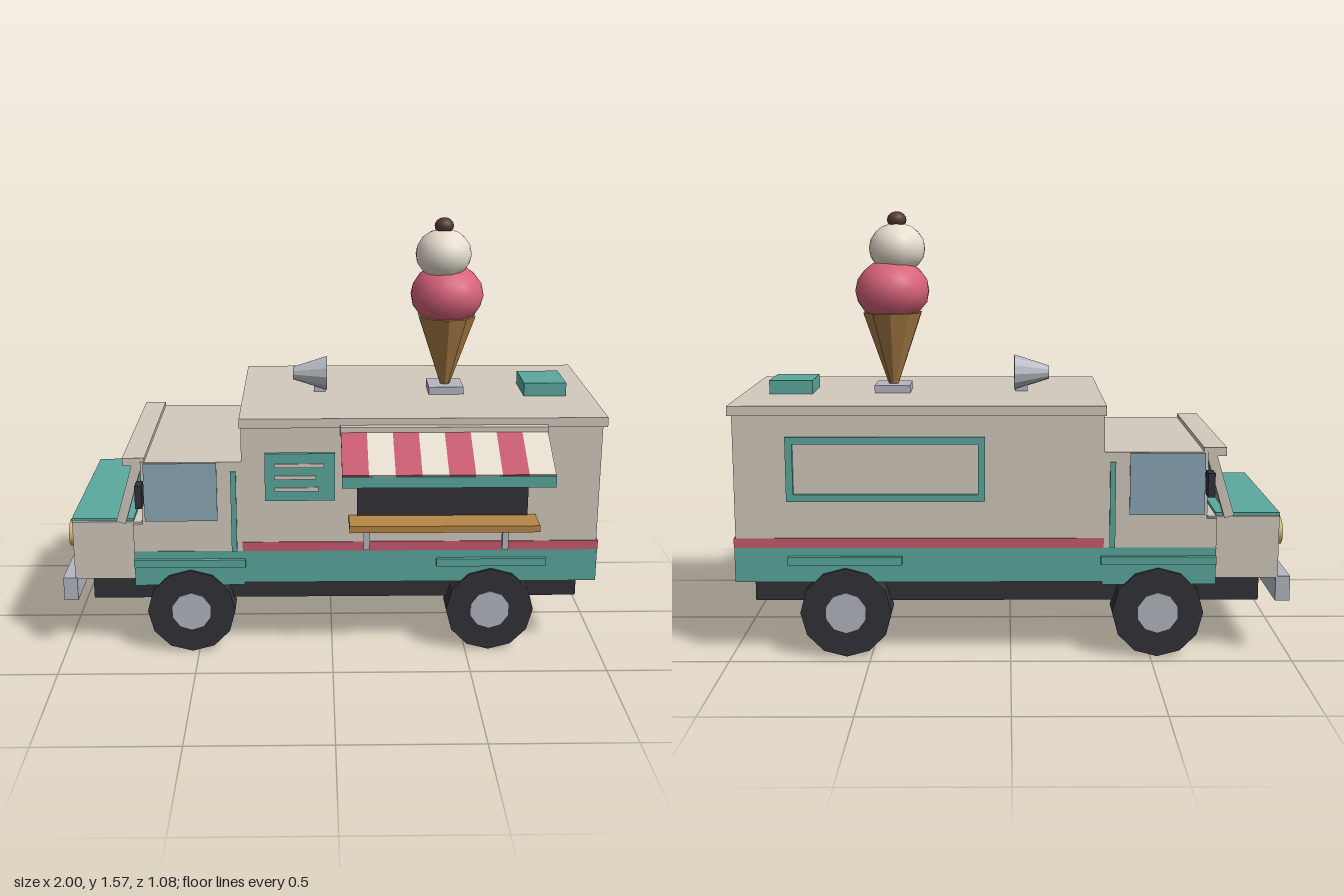
import * as THREE from 'three';

const mat = (color, extra = {}) => new THREE.MeshStandardMaterial({ color, ...extra });
const M = {
  cream: mat(0xd3cabd), teal: mat(0x5caa9f), red: mat(0xc85a70), dark: mat(0x333138),
  glass: mat(0x8ca9b8), metal: mat(0xb4b8c0), grille: mat(0x74747c), wood: mat(0xb88645),
  gold: mat(0xd6bd7c), white: mat(0xe6dfd0), pink: mat(0xd8627a), brown: mat(0x553a36),
  waffle: mat(0xa87d45, { flatShading: true }), tyre: mat(0x333138, { flatShading: true }),
  hub: mat(0xb4b8c0, { flatShading: true }),
  horn: mat(0xb4b8c0, { flatShading: true, side: THREE.DoubleSide }),
};

export function createModel() {
  const model = new THREE.Group();
  const truck = new THREE.Group();
  truck.name = 'truck';
  truck.position.z = -0.065; // the awning sticks out on one side
  model.add(truck);

  const add = (name, geo, material, x = 0, y = 0, z = 0) => {
    const mesh = new THREE.Mesh(geo, material);
    mesh.name = name;
    mesh.position.set(x, y, z);
    truck.add(mesh);
    return mesh;
  };
  // box given by its limits on each axis
  const box = (name, material, x0, x1, y0, y1, z0, z1) =>
    add(name, new THREE.BoxGeometry(x1 - x0, y1 - y0, z1 - z0), material,
      (x0 + x1) / 2, (y0 + y1) / 2, (z0 + z1) / 2);
  // thick slab from a to b, both [x, y, z], in a plane of constant x or z
  const slab = (name, material, a, b, thick, width) => {
    const A = new THREE.Vector3(...a), B = new THREE.Vector3(...b), d = B.clone().sub(A);
    const alongX = Math.abs(d.x) > Math.abs(d.z);
    const size = alongX ? [thick, d.length(), width] : [width, d.length(), thick];
    const mesh = add(name, new THREE.BoxGeometry(...size), material, ...A.add(B).multiplyScalar(0.5));
    mesh.quaternion.setFromUnitVectors(new THREE.Vector3(0, 1, 0), d.normalize());
    return mesh;
  };

  // chassis and cargo body
  const W = 0.373;
  box('chassis', M.dark, -0.895, 0.92, 0.19, 0.28, -0.317, 0.317);
  box('cargoBody', M.cream, -0.33, 0.975, 0.39, 0.885, -W, W);
  box('lowerBody', M.teal, -0.33, 0.98, 0.275, 0.4, -W - 0.002, W + 0.002);
  box('stripe', M.red, -0.33, 0.981, 0.4, 0.435, -W - 0.004, W + 0.004);
  box('roof', M.cream, -0.335, 0.99, 0.875, 0.91, -0.382, 0.382);

  // cab and hood
  box('cabLower', M.teal, -0.73, -0.325, 0.265, 0.4, -W - 0.002, W + 0.002);
  box('cabMiddle', M.cream, -0.73, -0.32, 0.4, 0.505, -W, W);
  box('cabUpper', M.cream, -0.695, -0.32, 0.505, 0.745, -W, W);
  box('hood', M.cream, -0.955, -0.7, 0.285, 0.51, -0.358, 0.358);
  box('hoodTop', M.teal, -0.958, -0.73, 0.505, 0.52, -0.347, 0.347);
  box('visor', M.cream, -0.76, -0.68, 0.73, 0.76, -0.368, 0.368);
  slab('windshield', M.glass, [-0.78, 0.51, 0], [-0.705, 0.745, 0], 0.02, 0.66);
  for (const s of [-1, 1])
    slab('windshieldPillar', M.cream, [-0.775, 0.51, s * 0.345], [-0.705, 0.745, s * 0.345], 0.035, 0.04);
  box('bumper', M.metal, -1, -0.948, 0.2, 0.29, -0.36, 0.36);
  box('grille', M.grille, -0.965, -0.95, 0.315, 0.405, -0.25, 0.25);

  // parts mirrored on both sides
  for (const s of [-1, 1]) {
    const side = (name, m, x0, x1, y0, y1, a, b) =>
      box(name, m, x0, x1, y0, y1, Math.min(s * a, s * b), Math.max(s * a, s * b));
    side('cabWindow', M.glass, -0.685, -0.42, 0.52, 0.742, 0.36, 0.379);
    side('doorTrim', M.teal, -0.37, -0.35, 0.4, 0.71, 0.36, 0.382);
    side('cabStep', M.teal, -0.73, -0.32, 0.34, 0.37, 0.36, 0.39);
    side('rearStep', M.teal, 0.385, 0.79, 0.34, 0.37, 0.36, 0.39);
    side('mirrorArm', M.dark, -0.698, -0.685, 0.655, 0.675, 0.36, 0.43);
    side('mirror', M.dark, -0.705, -0.68, 0.605, 0.69, 0.415, 0.473);
    side('rearWindow', M.teal, 0.96, 0.984, 0.465, 0.835, 0.012, 0.315);
    side('tailLight', M.red, 0.97, 0.998, 0.335, 0.415, 0.193, 0.25);
    add('headlight', new THREE.CylinderGeometry(0.05, 0.05, 0.03, 12), M.gold, -0.963, 0.435, s * 0.265)
      .rotation.z = Math.PI / 2;
    for (const x of [-0.525, 0.588]) {
      add('wheel', new THREE.CylinderGeometry(0.163, 0.163, 0.104, 12), M.tyre, x, 0.163, s * 0.332)
        .rotation.set(Math.PI / 2, Math.PI / 2, 0);
      add('hub', new THREE.CylinderGeometry(0.074, 0.074, 0.104, 10), M.hub, x, 0.163, s * 0.336)
        .rotation.x = Math.PI / 2;
    }
  }

  // menu board with its lines
  box('menuBoard', M.teal, -0.245, 0.01, 0.6, 0.78, 0.36, 0.386);
  [[0.735, -0.03], [0.69, -0.06], [0.645, -0.05]].forEach(([y, x1]) =>
    box('menuLine', M.cream, -0.21, x1, y - 0.007, y + 0.007, 0.38, 0.391));

  // serving window, counter and brackets
  box('servingWindow', M.dark, 0.09, 0.715, 0.535, 0.79, 0.36, 0.379);
  box('counter', M.wood, 0.06, 0.745, 0.513, 0.538, 0.37, 0.488);
  for (const x of [0.122, 0.622])
    box('counterBracket', M.metal, x - 0.011, x + 0.011, 0.445, 0.515, 0.46, 0.482);

  // striped awning
  box('awningMount', M.cream, 0.028, 0.772, 0.85, 0.885, 0.365, 0.41);
  const n = 8, w = 0.74 / n;
  for (let i = 0; i < n; i++) {
    const x = 0.03 + w * (i + 0.5);
    slab('awningStripe', i % 2 ? M.white : M.red, [x, 0.868, 0.39], [x, 0.765, 0.598], 0.014, w);
  }
  box('awningValance', M.teal, 0.03, 0.772, 0.725, 0.765, 0.585, 0.602);

  // framed panel on the far side
  const [fx0, fx1, fy0, fy1, t] = [0.09, 0.79, 0.57, 0.8, 0.025];
  const frame = (x0, x1, y0, y1) => box('panelFrame', M.teal, x0, x1, y0, y1, -0.386, -0.36);
  frame(fx0, fx1, fy0, fy0 + t);
  frame(fx0, fx1, fy1 - t, fy1);
  frame(fx0, fx0 + t, fy0, fy1);
  frame(fx1 - t, fx1, fy0, fy1);

  // roof vent and loudspeaker horn
  box('roofVent', M.teal, 0.73, 0.89, 0.905, 0.96, -0.093, 0.093);
  box('hornFoot', M.metal, -0.065, -0.02, 0.905, 0.945, -0.02, 0.02);
  add('horn', new THREE.CylinderGeometry(0.025, 0.067, 0.13, 12), M.horn, -0.08, 0.979, 0)
    .rotation.z = Math.PI / 2;

  // giant ice cream cone
  box('coneBase', M.metal, 0.372, 0.504, 0.905, 0.938, -0.065, 0.065);
  add('cone', new THREE.CylinderGeometry(0.112, 0.018, 0.27, 10), M.waffle, 0.438, 1.07, 0);
  const scoop = (name, m, r, squash, x, y, z) =>
    add(name, new THREE.IcosahedronGeometry(r, 2), m, x, y, z).scale.y = squash;
  scoop('lowerScoop', M.pink, 0.138, 0.85, 0.438, 1.285, 0);
  scoop('upperScoop', M.white, 0.105, 0.9, 0.42, 1.44, 0.017);
  scoop('cherry', M.brown, 0.036, 0.85, 0.42, 1.545, 0.017);
  return model;
}
